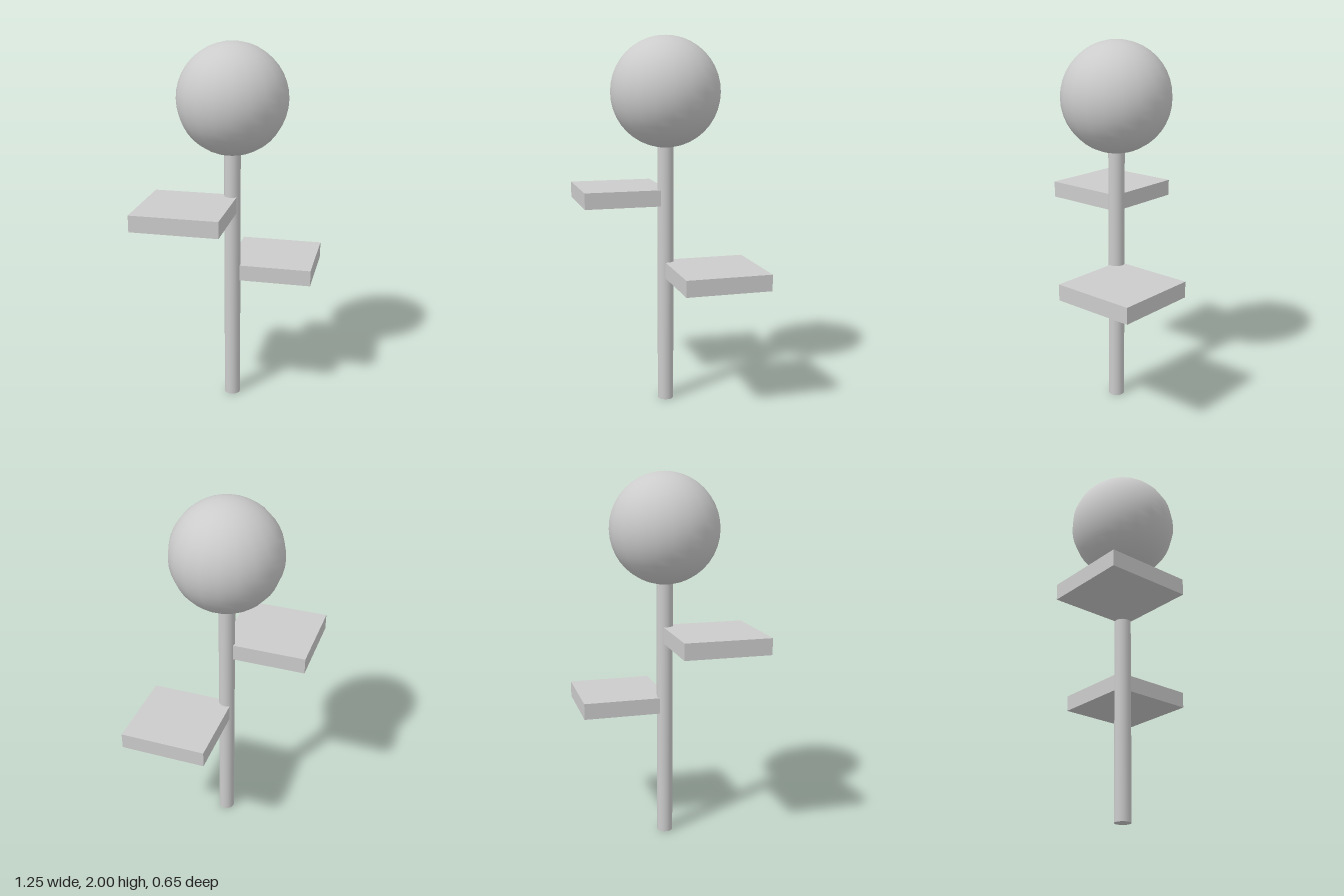
import * as THREE from 'three';

export function createModel() {
  const group = new THREE.Group();
  const material = new THREE.MeshStandardMaterial({ color: 0xcccccc });

  function add(name, geometry, x, y, z = 0, turn = 0) {
    const mesh = new THREE.Mesh(geometry, material);
    mesh.name = name;
    mesh.position.set(x, y, z);
    mesh.rotation.y = turn;
    group.add(mesh);
  }

  const axis = -0.004; // stem sits slightly off centre
  const stemHeight = 1.46;

  // Upright stem, ending just inside the head
  add('stem', new THREE.CylinderGeometry(0.044, 0.044, stemHeight, 20), axis, stemHeight / 2);

  // Round flower head
  add('flowerHead', new THREE.SphereGeometry(0.293, 20, 20), axis, 1.707);

  // Square slab leaves, turned so that one corner meets the stem
  const leaf = new THREE.BoxGeometry(0.463, 0.088, 0.463);
  add('leftLeaf', leaf, 0.296, 0.746, -0.002, 0.75);
  add('rightLeaf', leaf, -0.299, 1.143, -0.002, 0.75);

  return group;
}
